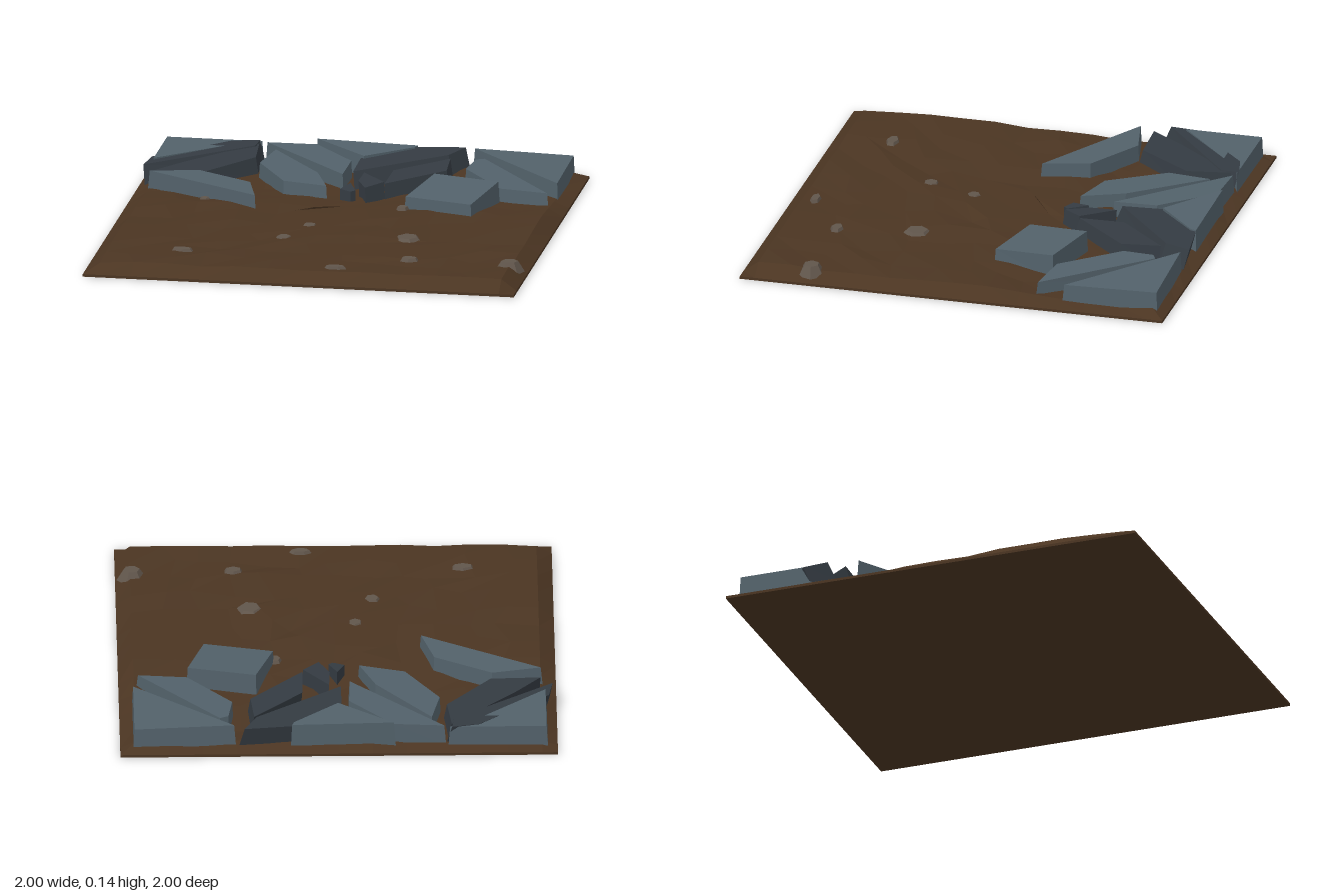
import * as THREE from 'three';

const mat = (name, color) => {
  const m = new THREE.MeshStandardMaterial({ color, flatShading: true });
  m.name = name;
  return m;
};

// Small seeded random generator
function seeded(seed) {
  return () => {
    seed = (seed * 16807) % 2147483647;
    return seed / 2147483647;
  };
}

// Height of the soil: sloping rim, lower beneath the slabs at the back
function soilHeight(x, z) {
  const edge = 1 - Math.max(Math.abs(x), Math.abs(z));
  const inner = 0.038 + 0.02 * THREE.MathUtils.smoothstep(z, -0.6, 0.1);
  return THREE.MathUtils.lerp(0.012, inner, Math.min(1, edge / 0.07));
}

// Uneven soil surface with large facets
function soilGeometry() {
  const n = 14, rand = seeded(77);
  const g = new THREE.PlaneGeometry(2, 2, n, n).rotateX(-Math.PI / 2);
  const p = g.attributes.position;
  const line = i => i === 0 ? -1 : i === n ? 1 : -0.93 + 1.86 * (i - 1) / (n - 2);
  for (let i = 0; i < p.count; i++) {
    const c = i % (n + 1), r = Math.floor(i / (n + 1));
    const inside = c > 1 && c < n - 1 && r > 1 && r < n - 1;
    const x = line(c) + (inside ? (rand() - 0.5) * 0.11 : 0);
    const z = line(r) + (inside ? (rand() - 0.5) * 0.11 : 0);
    const rim = c === 0 || c === n || r === 0 || r === n;
    p.setXYZ(i, x, soilHeight(x, z) + (rim ? 0 : (rand() - 0.4) * 0.017), z);
  }
  const flat = g.toNonIndexed();
  flat.computeVertexNormals();
  return flat;
}

// Broken slab: outline in x,z; top height with slopes along x and z; top shifted by lean
function slabGeometry(outline, height, slopeX = 0, slopeZ = 0, lean = 0) {
  const shape = new THREE.Shape(outline.map(([x, z]) => new THREE.Vector2(x, -z)));
  const g = new THREE.ExtrudeGeometry(shape, { depth: 1, bevelEnabled: false }).rotateX(-Math.PI / 2);
  const cx = outline.reduce((s, q) => s + q[0], 0) / outline.length;
  const cz = outline.reduce((s, q) => s + q[1], 0) / outline.length;
  const p = g.attributes.position;
  for (let i = 0; i < p.count; i++) {
    const dx = p.getX(i) - cx, dz = p.getZ(i) - cz;
    if (p.getY(i) > 0.5) {
      p.setXYZ(i, cx + dx * 0.97 - lean * 0.7, height + slopeX * dx + slopeZ * dz, cz + dz * 0.97 - lean);
    } else p.setY(i, 0.02);
  }
  g.computeVertexNormals();
  return g;
}

export function createModel() {
  const model = new THREE.Group();
  const soil = mat('brown soil', 0x4b3522);
  const light = mat('blue grey stone', 0x52616a);
  const dark = mat('dark slate', 0x343b42);
  const gravel = mat('pebble grey', 0x60554b);

  const add = (name, geometry, material) => {
    const mesh = new THREE.Mesh(geometry, material);
    mesh.name = name;
    model.add(mesh);
    return mesh;
  };

  add('soilBase', new THREE.BoxGeometry(2, 0.012, 2), soil).position.y = 0.006;
  add('soilSurface', soilGeometry(), soil);

  // Pale slabs: outline, height, slopes
  [
    [[[-0.955, -0.95], [-0.5, -0.95], [-0.62, -0.88], [-0.955, -0.58]], 0.12],
    [[[-0.94, -0.38], [-0.71, -0.43], [-0.44, -0.27], [-0.38, -0.05]], 0.12],
    [[[-0.43, -0.85], [-0.17, -0.51], [-0.095, -0.31], [-0.31, -0.37], [-0.47, -0.64]], 0.108, 0.02, -0.03],
    [[[-0.49, -0.94], [-0.25, -0.93], [-0.045, -0.69], [-0.05, -0.48]], 0.12, 0.02, -0.03],
    [[[-0.26, -0.95], [0.22, -0.95], [0.21, -0.92], [0, -0.73]], 0.137, -0.02, -0.02],
    [[[0.37, -0.48], [0.69, -0.4], [0.61, -0.1], [0.285, -0.18]], 0.126, 0.02, -0.1],
    [[[0.5, -0.83], [0.54, -0.85], [0.92, -0.38], [0.69, -0.41], [0.48, -0.68]], 0.11, -0.01, -0.03],
    [[[0.47, -0.95], [0.94, -0.96], [0.94, -0.51]], 0.122, -0.03, -0.02],
  ].forEach(([o, ...rest], i) => add(`paleSlab${i + 1}`, slabGeometry(o, ...rest), light));

  // Dark slabs, leaning back
  [
    [[[-0.62, -0.9], [-0.49, -0.93], [-0.5, -0.84], [-0.97, -0.47], [-0.95, -0.6]], 0.118, 0, -0.03, 0.03],
    [[[-0.5, -0.91], [-0.48, -0.7], [-0.69, -0.43], [-0.925, -0.42], [-0.8, -0.58]], 0.108, 0, -0.03, 0.015],
    [[[0.22, -0.92], [0.46, -0.95], [0.4, -0.82], [0, -0.5], [0, -0.71]], 0.124, 0, -0.03, 0.03],
    [[[0.4, -0.82], [0.415, -0.63], [0.165, -0.36], [0.17, -0.58]], 0.112, -0.02, -0.02, 0.015],
    [[[0.045, -0.52], [0.165, -0.37], [0.09, -0.28], [0.04, -0.39]], 0.115, 0.05, -0.03, 0.01],
    [[[0, -0.385], [0.04, -0.29], [0.02, -0.27], [-0.035, -0.3]], 0.1, 0, -0.1, 0],
  ].forEach(([o, ...rest], i) => add(`darkSlab${i + 1}`, slabGeometry(o, ...rest), dark));

  // Half-buried pebbles: x, z, half width, half depth, top height
  [
    [-0.09, 0.185, 0.05, 0.05, 0.066], [-0.17, 0.41, 0.055, 0.055, 0.069],
    [0.39, 0.325, 0.085, 0.09, 0.07], [0.46, 0.685, 0.065, 0.045, 0.075],
    [0.925, 0.68, 0.07, 0.065, 0.08], [0.15, 0.87, 0.075, 0.035, 0.073],
    [-0.59, 0.705, 0.08, 0.045, 0.074], [0.28, -0.17, 0.04, 0.05, 0.068],
    [-0.64, -0.18, 0.035, 0.03, 0.064],
  ].forEach(([x, z, w, d, top], i) => {
    const pebble = add(`pebble${i + 1}`, new THREE.CylinderGeometry(0.55, 1, 1, 6), gravel);
    pebble.geometry.rotateY(i * 0.7);
    pebble.scale.set(w, top - 0.03, d);
    pebble.position.set(x, (top + 0.03) / 2, z);
  });

  return model;
}
